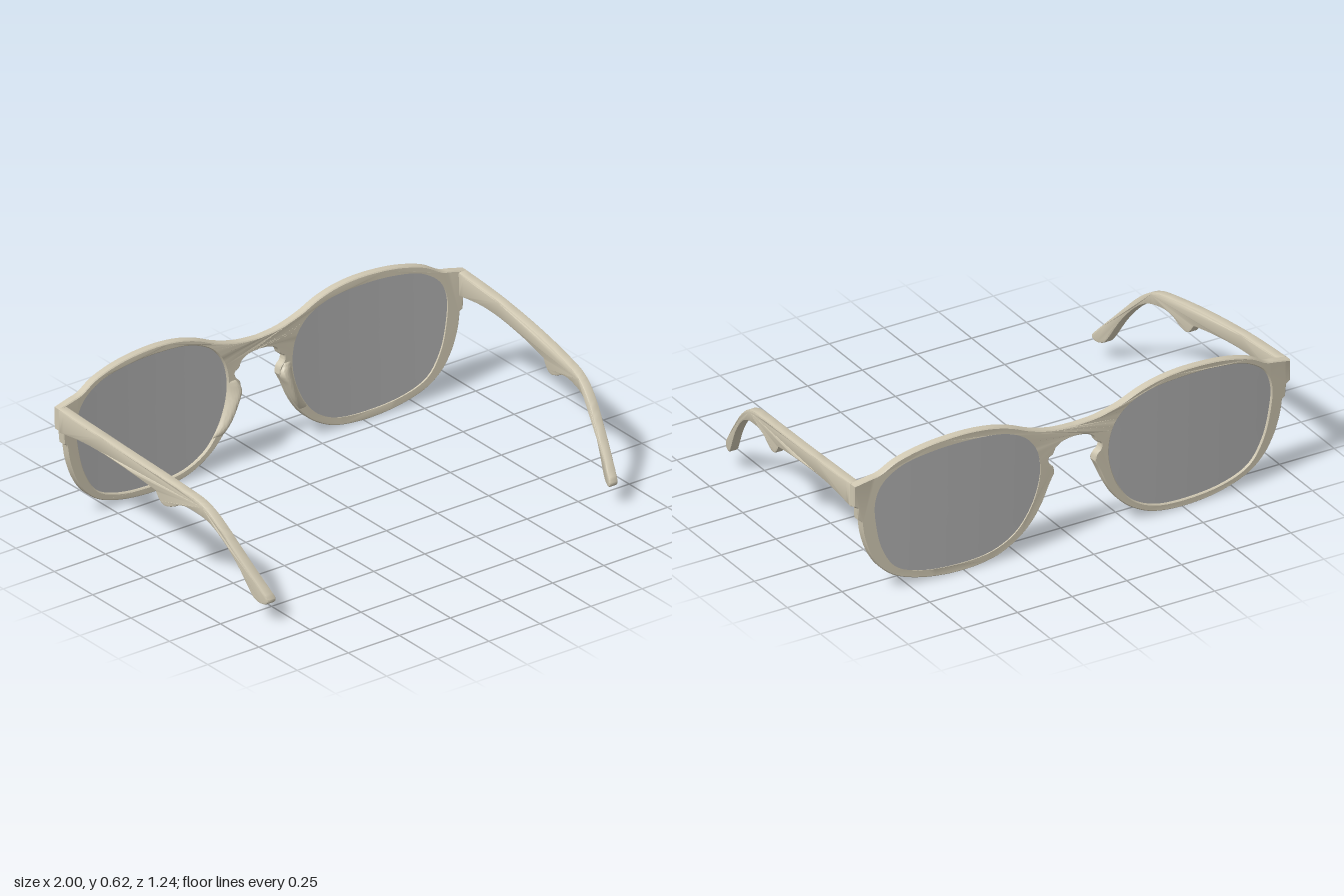
import * as THREE from 'three';
import { toCreasedNormals } from 'three/addons/utils/BufferGeometryUtils.js';

const V = (p) => new THREE.Vector2(p[0], p[1]);
const spline = (pts, n, closed = false) => {
  if (!closed) return new THREE.SplineCurve(pts.map(V)).getPoints(n);
  const c = new THREE.CatmullRomCurve3(pts.map((p) => new THREE.Vector3(p[0], p[1], 0)), true);
  return c.getPoints(n).slice(0, n).map((p) => new THREE.Vector2(p.x, p.y));
};
// joins runs of points, dropping doubled joints
const join = (...runs) => runs.flat().filter((p, i, a) => i === 0 || p.distanceTo(a[i - 1]) > 1e-4);

// move every vertex by a rule
function warp(geo, rule) {
  const p = geo.attributes.position;
  for (let i = 0; i < p.count; i++) p.setXYZ(i, ...rule(p.getX(i), p.getY(i), p.getZ(i)));
  return geo;
}

// reflect an unindexed geometry in x and restore its winding
function mirrored(geo) {
  const g = geo.clone().scale(-1, 1, 1);
  for (const a of [g.attributes.position, g.attributes.normal]) {
    for (let i = 0; i < a.count; i += 3) {
      const q = [a.getX(i + 1), a.getY(i + 1), a.getZ(i + 1)];
      a.setXYZ(i + 1, a.getX(i + 2), a.getY(i + 2), a.getZ(i + 2));
      a.setXYZ(i + 2, ...q);
    }
  }
  return g;
}

// outer face of the gently wrapped, tilted frame front
const THICK = 0.036;
const faceZ = (x, y) =>
  -0.594 + 0.022 * x * x - 0.009 * Math.sin(Math.PI * Math.min(1, Math.abs(x))) - 0.033 * y;

const lensPoints = spline([
  [0.155, 0.37], [0.175, 0.46], [0.23, 0.53], [0.33, 0.577], [0.5, 0.595], [0.66, 0.588],
  [0.79, 0.56], [0.875, 0.5], [0.908, 0.42], [0.9, 0.3], [0.87, 0.19], [0.81, 0.1],
  [0.7, 0.053], [0.52, 0.035], [0.37, 0.05], [0.27, 0.1], [0.205, 0.18], [0.165, 0.28],
], 90, true);

function frameGeometry() {
  const half = join(
    // brow
    spline([[0, 0.515], [0.1, 0.523], [0.2, 0.55], [0.3, 0.592], [0.4, 0.617], [0.52, 0.626],
      [0.67, 0.615], [0.8, 0.583], [0.88, 0.54], [0.93, 0.528], [0.998, 0.513]], 60),
    // end piece
    [[0.998, 0.42], [0.98, 0.408], [0.976, 0.355], [0.962, 0.345]].map(V),
    // lower rim
    spline([[0.962, 0.345], [0.95, 0.27], [0.92, 0.185], [0.87, 0.11], [0.79, 0.053], [0.66, 0.016],
      [0.51, 0.004], [0.37, 0.02], [0.27, 0.065], [0.2, 0.125], [0.15, 0.2], [0.115, 0.28], [0.092, 0.325]], 60),
    // keyhole bridge
    spline([[0.092, 0.325], [0.098, 0.355], [0.117, 0.375], [0.12, 0.4], [0.1, 0.412],
      [0.085, 0.44], [0.05, 0.46], [0, 0.466]], 30));
  const other = half.slice(1, -1).reverse().map((p) => new THREE.Vector2(-p.x, p.y));
  const shape = new THREE.Shape([...half, ...other]);
  for (const s of [1, -1]) {
    shape.holes.push(new THREE.Path(lensPoints.map((p) => new THREE.Vector2(s * p.x, p.y))));
  }
  const b = 0.004;
  const geo = new THREE.ExtrudeGeometry(shape, {
    depth: THICK - 2 * b, bevelEnabled: true, bevelThickness: b, bevelSize: b, bevelOffset: -b, bevelSegments: 1,
  });
  return toCreasedNormals(warp(geo, (x, y, z) => [x, y, z + b + faceZ(x, y)]), 0.6);
}

// lens: two skins of concentric rings following the frame curve
function lensGeometry() {
  const n = lensPoints.length, rings = 8, cx = 0.53, cy = 0.32, pos = [], idx = [];
  for (let side = 0; side < 2; side++) {
    const base = pos.length / 3;
    for (let r = 0; r <= rings; r++) {
      for (const p of lensPoints) {
        const k = (r / rings) * 1.015;
        const x = cx + (p.x - cx) * k, y = cy + (p.y - cy) * k;
        pos.push(x, y, faceZ(x, y) + (side ? 0.024 : 0.01));
      }
    }
    for (let r = 0; r < rings; r++) {
      for (let i = 0; i < n; i++) {
        const a = base + r * n + i, b = base + r * n + ((i + 1) % n), c = a + n, d = b + n;
        // points run clockwise seen from +z
        if (side) idx.push(a, d, c, a, b, d);
        else idx.push(a, c, d, a, d, b);
      }
    }
  }
  const geo = new THREE.BufferGeometry();
  geo.setAttribute('position', new THREE.Float32BufferAttribute(pos, 3));
  geo.setIndex(idx);
  return toCreasedNormals(geo, 0.6);
}

// nose pad: a swelling on the back of the inner rim
function nosePadGeometry() {
  const inner = new THREE.SplineCurve([[0.118, 0.37], [0.096, 0.325], [0.118, 0.275], [0.152, 0.2], [0.188, 0.143]].map(V));
  const outer = new THREE.SplineCurve([[0.155, 0.37], [0.158, 0.325], [0.17, 0.27], [0.197, 0.2], [0.235, 0.143]].map(V));
  const geo = warp(new THREE.PlaneGeometry(1, 1, 12, 24), (px, py) => {
    const u = px + 0.5, t = 0.5 - py;
    const p = inner.getPoint(t).lerp(outer.getPoint(t), u);
    const h = 0.032 * Math.pow(Math.max(0, Math.sin(Math.PI * t)), 0.7)
      * Math.pow(Math.max(0, Math.sin(Math.PI * Math.pow(u, 0.6))), 0.6);
    return [p.x, p.y, faceZ(p.x, p.y) + THICK - 0.004 + h];
  });
  return toCreasedNormals(geo, 0.9);
}

// temple arm: side profile in (z, y), bowed inwards towards the tip
function templeGeometry() {
  const profile = join(
    spline([[-0.56, 0.515], [-0.3, 0.5], [0, 0.472], [0.2, 0.446], [0.28, 0.43], [0.34, 0.4], [0.4, 0.35],
      [0.46, 0.287], [0.595, 0.14], [0.618, 0.11], [0.612, 0.092], [0.59, 0.085], [0.56, 0.095],
      [0.535, 0.125], [0.48, 0.215], [0.42, 0.29], [0.36, 0.343], [0.3, 0.37], [0.22, 0.381],
      [0.17, 0.373], [0.13, 0.353], [0.09, 0.341], [0.06, 0.352], [0.035, 0.385]], 110),
    spline([[0.035, 0.385], [0.02, 0.391], [-0.1, 0.41], [-0.25, 0.426], [-0.36, 0.43],
      [-0.45, 0.425], [-0.56, 0.41]], 30));
  const bow = new THREE.SplineCurve([[-0.6, 1], [-0.4, 0.997], [-0.2, 0.988], [0, 0.973], [0.2, 0.952],
    [0.36, 0.93], [0.5, 0.895], [0.64, 0.85]].map(V)).getPoints(100);
  const outerX = (z) => {
    const i = Math.max(1, bow.findIndex((p) => p.x >= z)), a = bow[i - 1], b = bow[i];
    return a.y + ((b.y - a.y) * (z - a.x)) / (b.x - a.x);
  };
  const b = 0.007;
  const geo = new THREE.ExtrudeGeometry(new THREE.Shape(profile), {
    depth: 0.042 - 2 * b, bevelEnabled: true, bevelThickness: b, bevelSize: b, bevelOffset: -b, bevelSegments: 2,
  });
  return toCreasedNormals(warp(geo, (z, y, c) => [outerX(z) - c - b, y, z]), 0.6);
}

export function createModel() {
  const group = new THREE.Group();
  group.name = 'glasses';
  const frameMat = new THREE.MeshStandardMaterial({ color: 0xd0c8b2, side: THREE.DoubleSide });
  const lensMat = new THREE.MeshStandardMaterial({ color: 0xb0b0b0, side: THREE.DoubleSide });
  const add = (name, geo, mat) => {
    const m = new THREE.Mesh(geo, mat);
    m.name = name;
    group.add(m);
  };
  const pair = (name, geo, mat) => {
    add('left' + name, geo, mat);
    add('right' + name, mirrored(geo), mat);
  };
  add('frameFront', frameGeometry(), frameMat);
  pair('Lens', lensGeometry(), lensMat);
  pair('NosePad', nosePadGeometry(), frameMat);
  pair('Temple', templeGeometry(), frameMat);
  return group;
}
